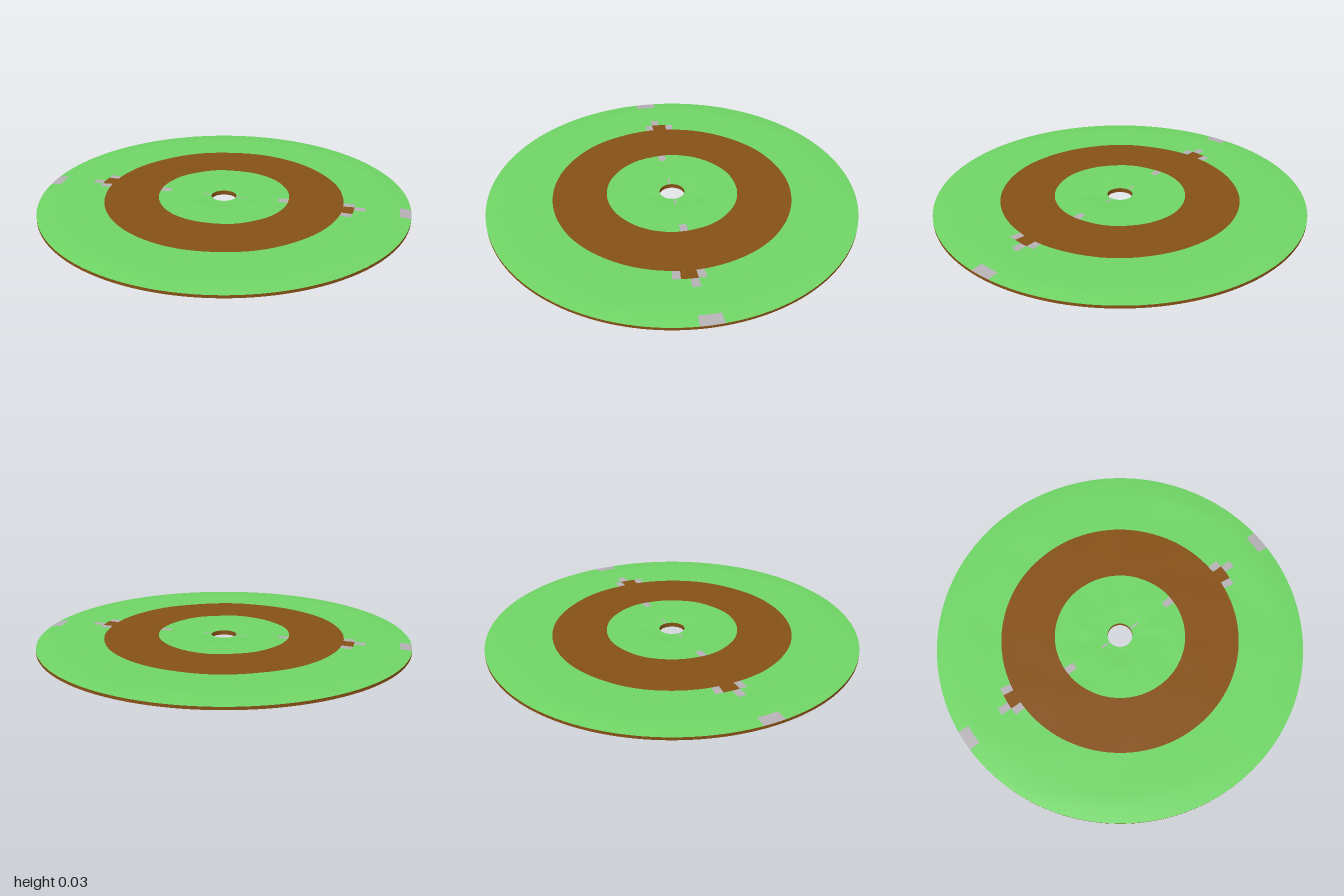
import * as THREE from 'three';
import { toCreasedNormals } from 'three/addons/utils/BufferGeometryUtils.js';

const HOLE = 0.068, RIM_Y = 0.018, HOLE_Y = 0.024;
const green = new THREE.MeshStandardMaterial({ color: 0x6fd465 });
const brown = new THREE.MeshStandardMaterial({ color: 0x855016 });
const grey = new THREE.MeshStandardMaterial({ color: 0xb4b0b4 });

// Gently uneven ground, level at the hole and rolling off at the rim
function height(r, a) {
  const inner = THREE.MathUtils.smoothstep(r, HOLE, 0.2);
  const outer = 1 - THREE.MathUtils.smoothstep(r, 0.86, 1);
  const bumps = 0.0009 * Math.sin(9 * r + 3 * a) + 0.0007 * Math.sin(17 * r - 7 * a + 1)
    + 0.0005 * Math.sin(11 * a + 5 * r + 2);
  const base = r < 0.5 ? THREE.MathUtils.lerp(HOLE_Y, 0.029, inner) : THREE.MathUtils.lerp(RIM_Y, 0.029, Math.sqrt(outer));
  return base + bumps * inner * outer;
}

function surfacePoint(r, a) {
  return new THREE.Vector3(r * Math.cos(a), height(r, a), r * Math.sin(a));
}

// Sector of the ground between two radii and two angles (angle runs from +x to +z)
function sector(r0, r1, a0, a1) {
  const nr = Math.max(2, Math.ceil((r1 - r0) / 0.02));
  const na = Math.max(2, Math.ceil((a1 - a0) / 0.035));
  const positions = [], normals = [], indices = [], e = 0.002;
  for (let i = 0; i <= nr; i++) {
    for (let j = 0; j <= na; j++) {
      const r = r0 + (r1 - r0) * i / nr, a = a0 + (a1 - a0) * j / na;
      positions.push(...surfacePoint(r, a));
      const ra = Math.max(HOLE, r - e), rb = Math.min(1, r + e);
      const dr = surfacePoint(rb, a).sub(surfacePoint(ra, a));
      const da = surfacePoint(r, a + e).sub(surfacePoint(r, a - e));
      normals.push(...da.cross(dr).normalize());
      if (i < nr && j < na) {
        const k = i * (na + 1) + j, n = k + na + 1;
        indices.push(k, k + 1, n, n, k + 1, n + 1);
      }
    }
  }
  const g = new THREE.BufferGeometry();
  g.setAttribute('position', new THREE.Float32BufferAttribute(positions, 3));
  g.setAttribute('normal', new THREE.Float32BufferAttribute(normals, 3));
  g.setIndex(indices);
  return g;
}

// Concentric bands; each may carry patches [startAngle, endAngle, material]
const bands = [
  { name: 'innerGrass', r: [HOLE, 0.12], mat: green, patches: [[-0.05, 0.05, grey]] },
  { name: 'innerGrass', r: [0.12, 0.3], mat: green, patches: [] },
  { name: 'innerGrass', r: [0.3, 0.356], mat: green, patches: [[-0.06, 0.06, grey]] },
  { name: 'dirtTrack', r: [0.356, 0.648], mat: brown, patches: [] },
  { name: 'outerGrass', r: [0.648, 0.706], mat: green,
    patches: [[-0.06, 0, grey], [0, 0.12, brown], [0.12, 0.18, grey]] },
  { name: 'outerGrass', r: [0.706, 0.765], mat: green, patches: [[0, 0.057, grey]] },
  { name: 'outerGrass', r: [0.765, 0.94], mat: green, patches: [] },
  { name: 'outerGrass', r: [0.94, 1], mat: green, patches: [[-0.058, 0.058, grey]] },
];

export function createModel() {
  const model = new THREE.Group();
  model.name = 'groundDisc';

  // Earth base: hole wall, flat underside and outer wall
  const profile = [[HOLE, HOLE_Y], [HOLE, 0], [0.985, 0], [1, 0.003], [1, RIM_Y]]
    .map(([r, y]) => new THREE.Vector2(r, y));
  const base = new THREE.Mesh(toCreasedNormals(new THREE.LatheGeometry(profile, 180), 0.6), brown);
  base.name = 'earthBase';
  model.add(base);

  // Top surface: every band repeats its patches on opposite sides
  for (const band of bands) {
    const add = (a0, a1, mat, name) => {
      const mesh = new THREE.Mesh(sector(...band.r, a0, a1), mat);
      mesh.name = name;
      model.add(mesh);
    };
    for (const turn of [0, Math.PI]) {
      let start = band.patches.length ? band.patches[0][0] : 0;
      const end = start + Math.PI;
      for (const [a0, a1, mat] of band.patches) {
        add(a0 + turn, a1 + turn, mat, mat === brown ? 'dirtTab' : 'stonePatch');
        start = a1;
      }
      add(start + turn, end + turn, band.mat, band.name);
    }
  }
  return model;
}
